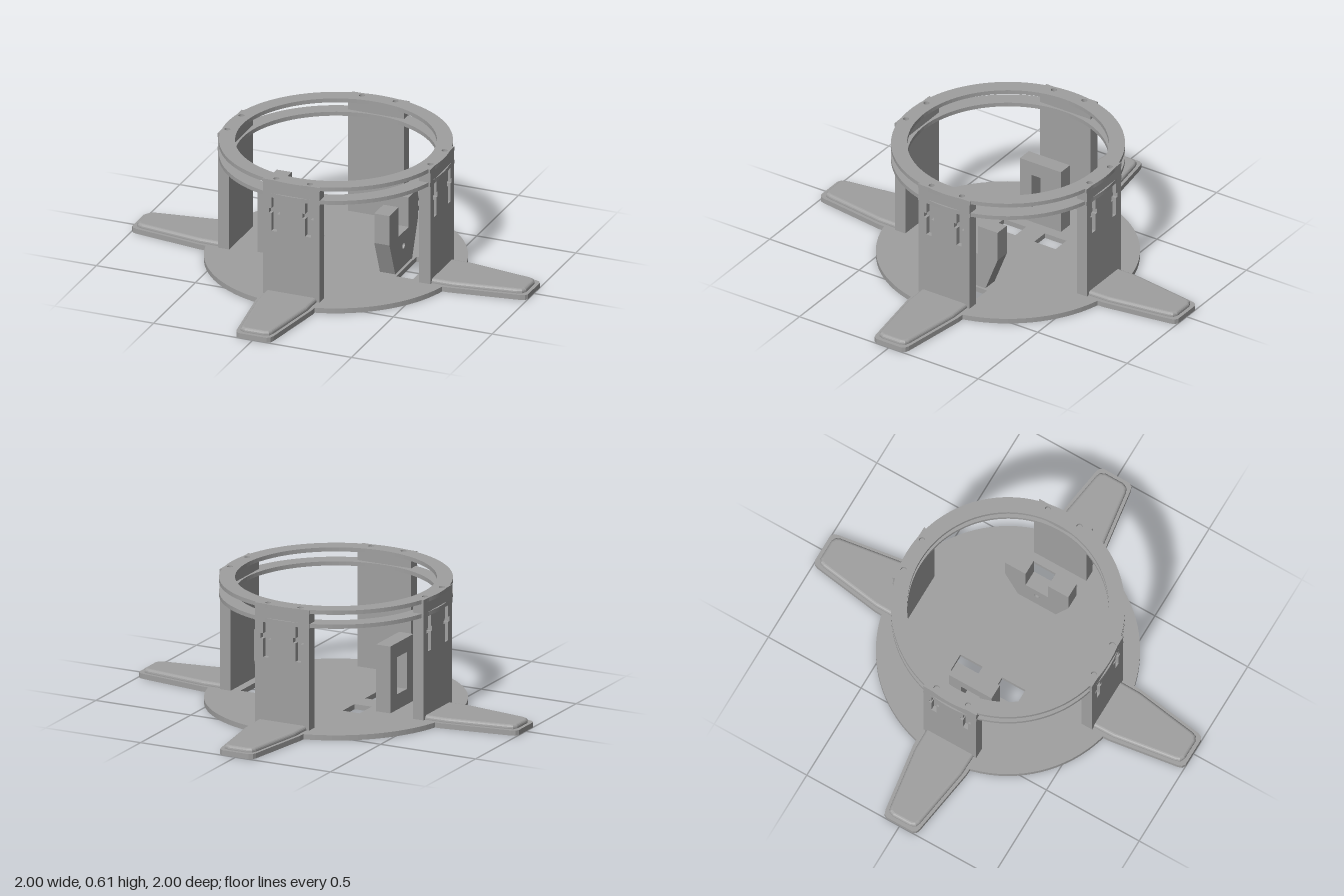
import * as THREE from 'three';

const grey = new THREE.MeshStandardMaterial({ color: 0xa0a0a0 });
grey.name = 'plain grey';

const shapeOf = (pts) => new THREE.Shape(pts.map((p) => new THREE.Vector2(p[0], p[1])));

function addPath(shape, pts) {
  shape.holes.push(new THREE.Path(pts.map((p) => new THREE.Vector2(p[0], p[1]))));
}

const rect = (x0, y0, x1, y1) => [[x0, y0], [x1, y0], [x1, y1], [x0, y1]];

function part(parent, name, geometry) {
  const mesh = new THREE.Mesh(geometry, grey);
  mesh.name = name;
  parent.add(mesh);
  return mesh;
}

// Upright plate: the shape lies in x, y and is extruded from z0 to z1
function upright(shape, z0, z1) {
  return new THREE.ExtrudeGeometry(shape, { depth: z1 - z0, bevelEnabled: false, curveSegments: 12 })
    .translate(0, 0, z0);
}

// Flat plate: shape y becomes z, and the plate fills y0 to y1
function flat(shape, y0, y1, options = {}) {
  return new THREE.ExtrudeGeometry(shape, { depth: y1 - y0, bevelEnabled: false, curveSegments: 48, ...options })
    .rotateX(Math.PI / 2).translate(0, y1, 0);
}

// Ring with a square-cornered pad over each of the four panels
function ringShape(withScrews) {
  const pts = [], R = 0.545, face = 0.537, half = Math.atan(0.145 / face);
  for (let k = 0; k < 4; k++) {
    const mid = k * Math.PI / 2;
    for (let i = 0; i <= 16; i++) {
      const a = -half + 2 * half * i / 16;
      const r = Math.max(R, face / Math.cos(a));
      pts.push([r * Math.cos(mid + a), r * Math.sin(mid + a)]);
    }
    for (let i = 0; i <= 16; i++) {
      const a = mid + half + (Math.PI / 2 - 2 * half) * i / 16;
      pts.push([R * Math.cos(a), R * Math.sin(a)]);
    }
  }
  const shape = shapeOf(pts);
  shape.holes.push(new THREE.Path().absarc(0, 0, 0.47, 0, Math.PI * 2, true));
  if (withScrews) {
    for (let k = 0; k < 4; k++) for (const s of [-1, 1]) {
      const a = k * Math.PI / 2 + s * Math.atan(0.085 / 0.513), r = Math.hypot(0.085, 0.513);
      shape.holes.push(new THREE.Path().absarc(r * Math.cos(a), r * Math.sin(a), 0.014, 0, Math.PI * 2, true));
    }
  }
  return shape;
}

// One side of the frame: slotted panel, foot plate and raised foot pad, facing +z
function makeSide() {
  const side = new THREE.Group();
  part(side, 'panelCore', upright(shapeOf(rect(-0.142, 0.005, 0.142, 0.592)), 0.48, 0.512));

  // Cross-shaped nut recesses in the outer skin
  const skin = shapeOf(rect(-0.142, 0.005, 0.142, 0.592));
  for (const c of [-0.085, 0.085]) {
    const w = 0.014, n = 0.028;
    addPath(skin, [
      [c - w, 0.35], [c + w, 0.35], [c + w, 0.44], [c + n, 0.44], [c + n, 0.465], [c + w, 0.465],
      [c + w, 0.52], [c - w, 0.52], [c - w, 0.465], [c - n, 0.465], [c - n, 0.44], [c - w, 0.44],
    ]);
  }
  part(side, 'panelSkin', upright(skin, 0.512, 0.537));

  // Tapered foot with chamfered tip corners
  const foot = shapeOf([
    [-0.145, 0.58], [0.145, 0.58], [0.143, 0.63], [0.093, 0.97], [0.086, 0.99], [0.07, 1],
    [-0.07, 1], [-0.086, 0.99], [-0.093, 0.97], [-0.143, 0.63],
  ]);
  part(side, 'footPlate', flat(foot, 0, 0.025));

  // Softly bevelled pad on the foot
  const pad = shapeOf([
    [-0.113, 0.53], [0.113, 0.53], [0.111, 0.64], [0.066, 0.945], [0.06, 0.96], [0.045, 0.967],
    [-0.045, 0.967], [-0.06, 0.96], [-0.066, 0.945], [-0.111, 0.64],
  ]);
  part(side, 'footPad', flat(pad, 0.02, 0.03, {
    bevelEnabled: true, bevelThickness: 0.015, bevelSize: 0.015, bevelSegments: 4,
  }));
  return side;
}

export function createModel() {
  const model = new THREE.Group();
  model.name = 'roundFrame';

  // Base disc with cable openings
  const disc = new THREE.Shape().absarc(0, 0, 0.615, 0, Math.PI * 2, false);
  addPath(disc, rect(-0.22, -0.18, -0.13, -0.06));
  addPath(disc, rect(-0.22, 0.045, -0.13, 0.17));
  addPath(disc, rect(0.355, -0.12, 0.44, 0.12));
  part(model, 'baseDisc', flat(disc, 0, 0.025));

  // Four identical sides
  ['front', 'left', 'back', 'right'].forEach((label, k) => {
    const side = makeSide();
    side.name = label + 'Side';
    side.rotation.y = k * Math.PI / 2;
    model.add(side);
  });

  // Upper and lower rings
  part(model, 'topRing', flat(ringShape(true), 0.59, 0.61));
  part(model, 'lowerRing', flat(ringShape(false), 0.522, 0.542));

  // Notched bracket on +x, profile drawn across z
  const notched = shapeOf([
    [-0.1, 0.02], [0.1, 0.02], [0.17, 0.2], [0.17, 0.35], [0.06, 0.35], [0.06, 0.2],
    [-0.06, 0.2], [-0.06, 0.35], [-0.17, 0.35], [-0.17, 0.2],
  ]);
  notched.holes.push(new THREE.Path().absarc(0, 0.13, 0.015, 0, Math.PI * 2, true));
  part(model, 'notchedBracket', upright(notched, 0.265, 0.342).rotateY(Math.PI / 2));

  // Windowed bracket on -x
  const windowed = shapeOf(rect(-0.115, 0.02, 0.115, 0.35));
  addPath(windowed, rect(-0.05, 0.1, 0.05, 0.28));
  part(model, 'windowedBracket', upright(windowed, -0.347, -0.272).rotateY(Math.PI / 2));

  return model;
}
